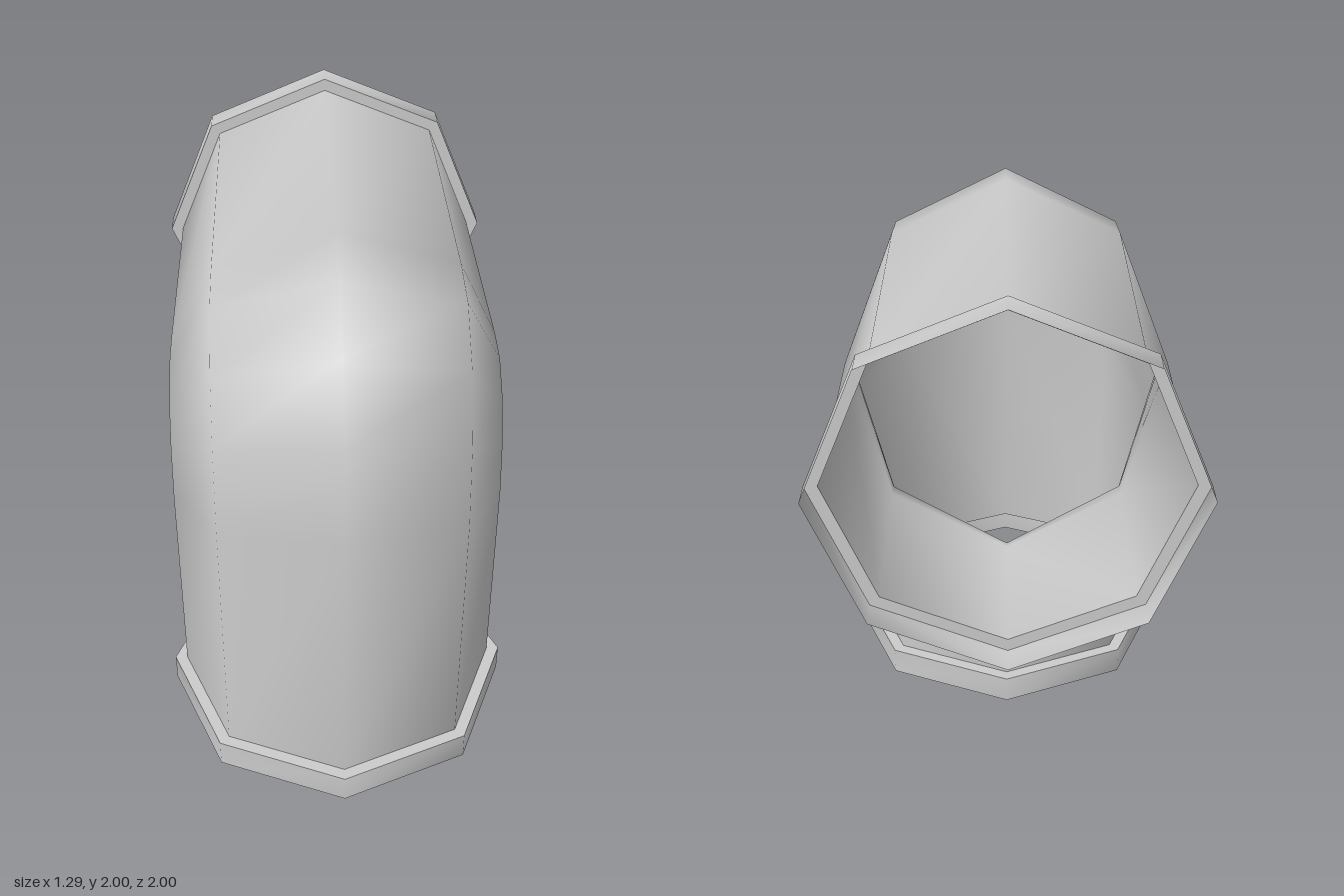
import * as THREE from 'three';

const SIDES = 8;
const PIPE_R = 0.597, RIM_R = 0.643, RIM_H = 0.105;
const AXIS_Z = 0.357; // axis of the upright leg
const AXIS_Y = 1.357; // axis of the level leg

// Smooth open skin through rings; ring(i, c, s) gives a point for cos c, sin s
function loft(name, rings, material) {
  const pos = [], index = [];
  rings.forEach((ring) => {
    for (let k = 0; k < SIDES; k++) {
      const a = (k / SIDES) * Math.PI * 2;
      pos.push(...ring(Math.cos(a), Math.sin(a)));
    }
  });
  for (let i = 0; i < rings.length - 1; i++) {
    for (let k = 0; k < SIDES; k++) {
      const n = (k + 1) % SIDES;
      const a = i * SIDES + k, b = i * SIDES + n;
      const c = a + SIDES, d = b + SIDES;
      index.push(a, c, b, b, c, d);
    }
  }
  const geo = new THREE.BufferGeometry();
  geo.setAttribute('position', new THREE.Float32BufferAttribute(pos, 3));
  geo.setIndex(index);
  geo.computeVertexNormals();
  const mesh = new THREE.Mesh(geo, material);
  mesh.name = name;
  return mesh;
}

// Rings square to each leg; positive s is the outer side of the bend
const upright = (r, y) => (c, s) => [r * c, y, AXIS_Z + r * s];
const level = (r, z) => (c, s) => [r * c, AXIS_Y + r * s, z];

// Elbow ring: each strand rounds its own corner, tighter on the inside
const elbow = ([fz, fy]) => (c, s) => {
  const d = PIPE_R * s;
  const t = (s + 1) / 2;
  const cutZ = THREE.MathUtils.lerp(0.09, 0.635, t);
  const cutY = THREE.MathUtils.lerp(0.12, 0.785, t);
  return [PIPE_R * c, AXIS_Y + d - fy * cutY, AXIS_Z + d - fz * cutZ];
};

export function createModel() {
  const group = new THREE.Group();
  group.name = 'pipeElbow';
  const material = new THREE.MeshStandardMaterial({ color: 0xcccccc, side: THREE.DoubleSide });

  // Bent pipe wall
  const bend = [[0, 1], [0.1, 0.57], [0.29, 0.26], [0.62, 0.045], [1, 0]].map(elbow);
  group.add(loft('pipe', [upright(PIPE_R, RIM_H), ...bend, level(PIPE_R, -1 + RIM_H)], material));

  // Hollow collars at both mouths: a sleeve plus the ledge joining it to the pipe
  group.add(
    loft('bottomCollar', [upright(RIM_R, 0), upright(RIM_R, RIM_H)], material),
    loft('bottomLedge', [upright(RIM_R, RIM_H), upright(PIPE_R, RIM_H)], material),
    loft('backCollar', [level(RIM_R, -1 + RIM_H), level(RIM_R, -1)], material),
    loft('backLedge', [level(PIPE_R, -1 + RIM_H), level(RIM_R, -1 + RIM_H)], material),
  );
  return group;
}
